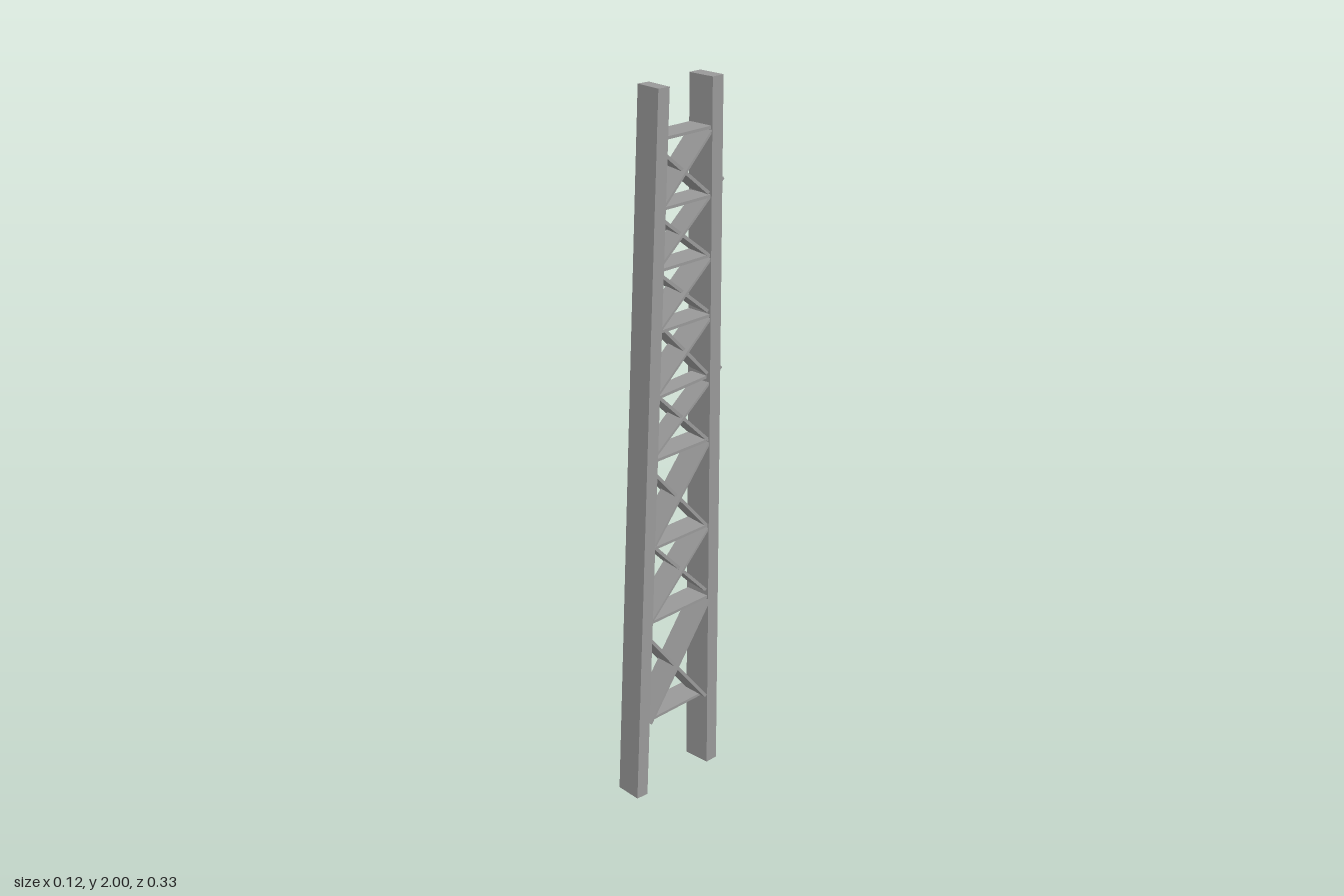
import * as THREE from 'three';

export function createModel() {
  const model = new THREE.Group();
  model.name = 'latticeMast';
  const steel = new THREE.MeshStandardMaterial({ color: 0x999999 });
  steel.name = 'grey steel';

  const add = (name, geometry) => {
    const mesh = new THREE.Mesh(geometry, steel);
    mesh.name = name;
    model.add(mesh);
    return mesh;
  };

  // Flat bar between two [x, y, z] points, its width kept level
  const bar = (name, a, b, width, thick) => {
    const from = new THREE.Vector3(...a), to = new THREE.Vector3(...b);
    const mesh = add(name, new THREE.BoxGeometry(width, thick, from.distanceTo(to)));
    mesh.position.copy(from).lerp(to, 0.5);
    mesh.lookAt(to);
  };

  // Upright rear post
  add('rearPost', new THREE.BoxGeometry(0.081, 2, 0.04).translate(0.0115, 1, -0.134));

  // Leaning front post, slightly turned, with level ends
  const shear = new THREE.Matrix4().set(
    1, 0.0038, 0, 0.0115,
    0, 1, 0, 1,
    0, -0.0405, 1, 0.102,
    0, 0, 0, 1);
  add('frontPost', new THREE.BoxGeometry(0.079, 2, 0.037).rotateY(-0.09).applyMatrix4(shear));

  // Inner face of the front post at height y
  const frontZ = (y) => 0.122 - 0.04 * y;
  const rear = -0.118;

  // Level rungs; the lowest is set off to one side, one passes through the front post
  const levels = [0.215, 0.535, 0.755, 1.01, 1.19, 1.365, 1.53, 1.69, 1.87];
  levels.forEach((y, i) => {
    const x = i === 0 ? -0.014 : 0.011;
    const end = frontZ(y) + (i === 4 ? 0.035 : 0.004);
    bar('rung', [x, y, rear - 0.012], [x, i === 4 ? y - 0.012 : y, end],
      i === 0 ? 0.08 : i === 4 ? 0.055 : 0.074, 0.008);
  });

  // Turned diagonals rising to the front: [rear y, front y, front x]
  const rising = [
    [0.22, 0.485, -0.002], [0.56, 0.775, -0.022], [0.76, 0.985, -0.018], [1.015, 1.2, -0.012],
    [1.205, 1.405, -0.022], [1.38, 1.53, -0.02], [1.535, 1.675, -0.02], [1.7, 1.845, -0.017],
  ];
  for (const [y0, y1, x] of rising) {
    bar('risingBrace', [0.012, y0, -0.112], [x, y1, frontZ(y1) + 0.004], 0.079, 0.009);
  }

  // Crossing diagonals falling to the front; two come out behind the rear post
  for (let i = 0; i < 8; i++) {
    const y0 = levels[i] + 0.006, y1 = levels[i + 1] - 0.008;
    const a = new THREE.Vector3(i === 0 ? 0.013 : 0.01, y0, frontZ(y0));
    const b = new THREE.Vector3(i === 0 ? 0.018 : 0.012, y1, rear);
    if (i === 3 || i === 6) b.set(0.02, levels[i + 1] + (i === 3 ? 0.02 : 0.04), -0.163);
    bar('fallingBrace', a.toArray(), b.toArray(), i === 3 || i === 6 ? 0.06 : 0.076, 0.007);
  }

  return model;
}
